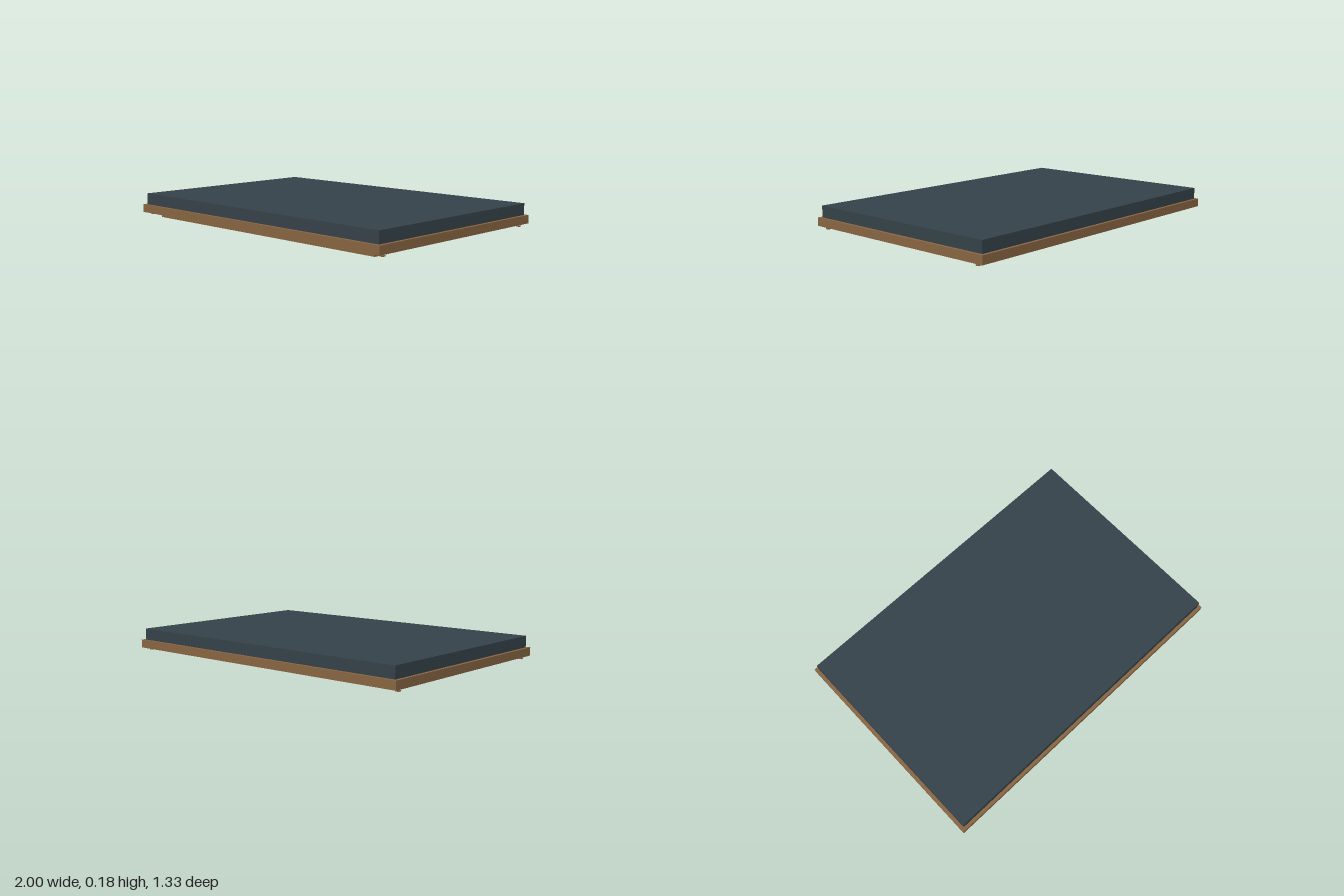
import * as THREE from 'three';

const mat = (name, color, side = THREE.FrontSide) => {
  const m = new THREE.MeshStandardMaterial({ color, side });
  m.name = name;
  return m;
};

export function createModel() {
  const slate = mat('slate', 0x36434a);
  const wood = mat('wood', 0x8a6643);
  const paper = mat('paper', 0xd0c3ad, THREE.DoubleSide);
  const yellow = mat('yellow', 0xd6b83a, THREE.DoubleSide);
  const ink = mat('ink', 0x24282a, THREE.DoubleSide);

  const group = new THREE.Group();
  group.name = 'noticeBoard';

  const add = (name, geometry, material, x, y, z) => {
    const mesh = new THREE.Mesh(geometry, material);
    mesh.name = name;
    mesh.position.set(x, y, z);
    group.add(mesh);
    return mesh;
  };
  const box = (name, material, w, h, d, x, y, z) =>
    add(name, new THREE.BoxGeometry(w, h, d), material, x, y, z);
  // Flat sheet facing down
  const sheet = (name, material, w, d, x, y, z) =>
    add(name, new THREE.PlaneGeometry(w, d).rotateX(Math.PI / 2), material, x, y, z);

  // Slate panel, lying face down
  box('boardPanel', slate, 1.96, 0.07, 1.296, 0, 0.145, 0);

  // Wooden frame
  const rail = 0.08, halfX = 1, halfZ = 0.667;
  for (const s of [-1, 1]) {
    box('longRail', wood, 2 * halfX, 0.05, rail, 0, 0.085, s * (halfZ - rail / 2));
    box('shortRail', wood, rail, 0.05, 2 * (halfZ - rail), s * (halfX - rail / 2), 0.085, 0);
    // Corner studs
    for (const t of [-1, 1]) box('cornerStud', wood, 0.02, 0.006, 0.02, s * 0.97, 0.047, t * 0.61);
  }

  // Ledge along one long side
  box('ledge', wood, 1.81, 0.012, 0.1, 0, 0.036, 0.545);

  // Pinned papers
  for (const [x, z] of [[0.41, -0.32], [0.41, 0.215], [-0.41, -0.32]]) {
    sheet('paperSheet', paper, 0.31, 0.4, x, 0.02, z);
    box('pin', wood, 0.014, 0.01, 0.018, x, 0.005, z + 0.222);
  }

  // Yellow notice with a strip at each end and a dark mark
  sheet('yellowNotice', yellow, 0.31, 0.33, -0.41, 0.02, 0.22);
  for (const s of [-1, 1]) sheet('noticeStrip', paper, 0.34, 0.055, -0.41, 0.02, 0.22 + s * 0.2);
  const mark = add('noticeMark', new THREE.CircleGeometry(0.05, 3).rotateX(Math.PI / 2), ink, -0.41, 0.017, 0.22);
  mark.rotation.y = Math.PI / 2;

  return group;
}
